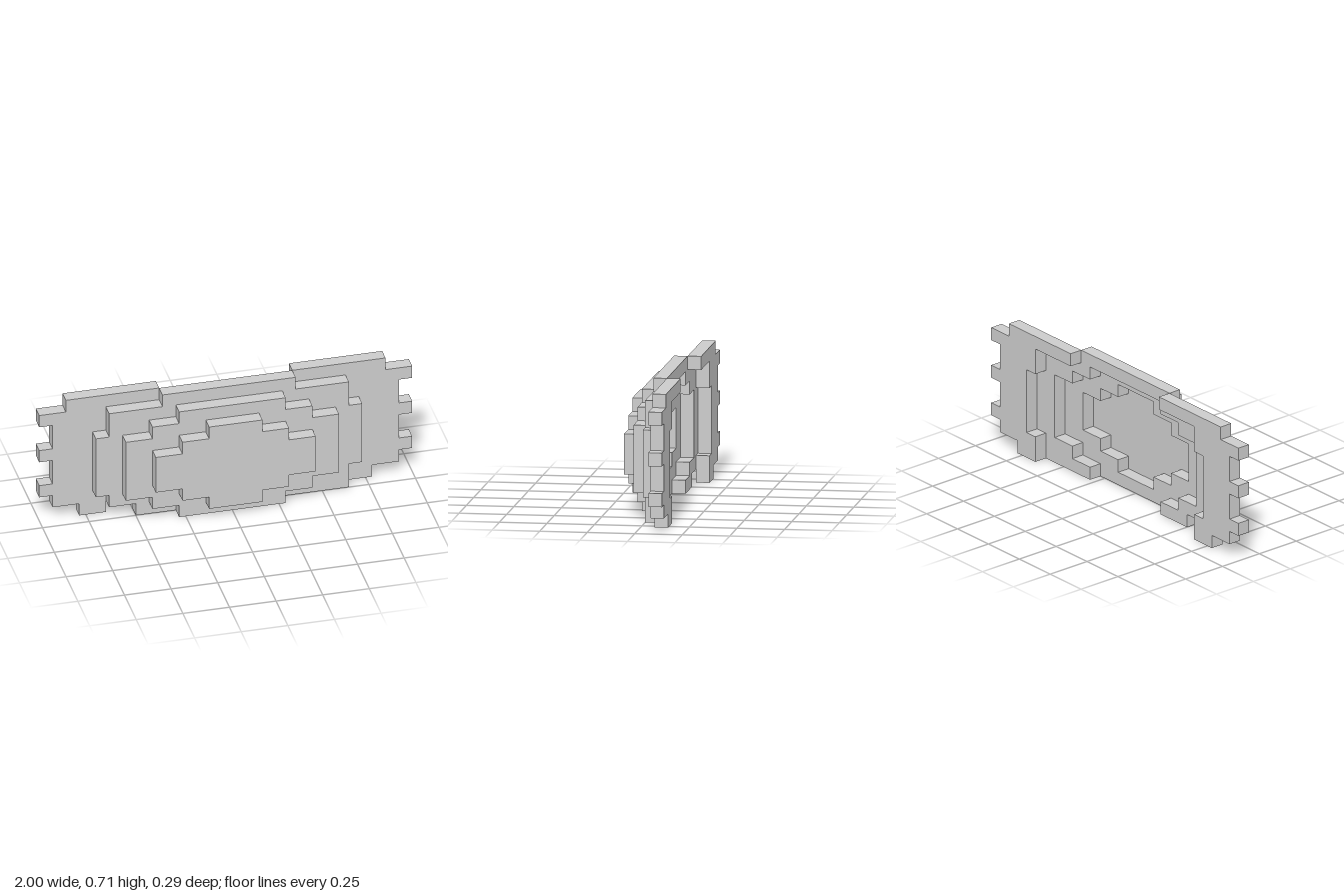
import * as THREE from 'three';

const U = 1 / 14; // size of one block

// Stepped right-hand edges, bottom to top: [yStart, yEnd, x] in blocks
const FLANGE = [[0, 1, 11], [1, 2, 13], [2, 3, 14], [3, 5, 13], [5, 6, 14], [6, 8, 13], [8, 9, 14], [9, 10, 12]];
const OUTER = [[0, 2, 9], [2, 7, 10], [7, 9, 9], [9, 10, 5]];
const OUTER_LEFT = [[0, 1, 7], [1, 2, 9], ...OUTER.slice(1)]; // notched bottom corner
const MIDDLE = [[0, 1, 4], [1, 2, 6], [2, 7, 8], [7, 8, 6], [8, 9, 4]];
const FRONT = [[1, 2, 2], [2, 3, 4], [3, 6, 6], [6, 7, 4], [7, 8, 2]];

// Corner points of an edge, going up; side -1 mirrors it
const up = (bands, side = 1) => bands.flatMap(([y0, y1, x]) =>
  [new THREE.Vector2(side * x * U, y0 * U), new THREE.Vector2(side * x * U, y1 * U)]);
const down = (bands, side = 1) => up(bands, side).reverse();
const closed = (bands) => [...up(bands), ...down(bands, -1)];

export function createModel() {
  const group = new THREE.Group();
  const material = new THREE.MeshStandardMaterial({ color: 0xcccccc, flatShading: true });

  // One sheet, a block thick, with its back at z (in blocks)
  function addSheet(name, points, z, hole) {
    const shape = new THREE.Shape(points);
    if (hole) shape.holes.push(new THREE.Path(hole));
    const geometry = new THREE.ExtrudeGeometry(shape, { depth: U, bevelEnabled: false });
    geometry.translate(0, 0, z * U);
    const mesh = new THREE.Mesh(geometry, material);
    mesh.name = name;
    group.add(mesh);
  }

  // Rear flanges with toothed outer edges
  for (const side of [1, -1]) {
    addSheet(side > 0 ? 'leftFlange' : 'rightFlange', [...up(FLANGE, side), ...down(OUTER, side)], -2);
  }

  // Outer step, an arch open at the bottom
  addSheet('outerStep', [...up(OUTER), ...down(OUTER_LEFT, -1), ...up(MIDDLE, -1), ...down(MIDDLE)], -1);

  // Middle step, a closed ring
  addSheet('middleStep', closed(MIDDLE), 0, closed(FRONT));

  // Front plate
  addSheet('frontPlate', closed(FRONT), 1);

  return group;
}
